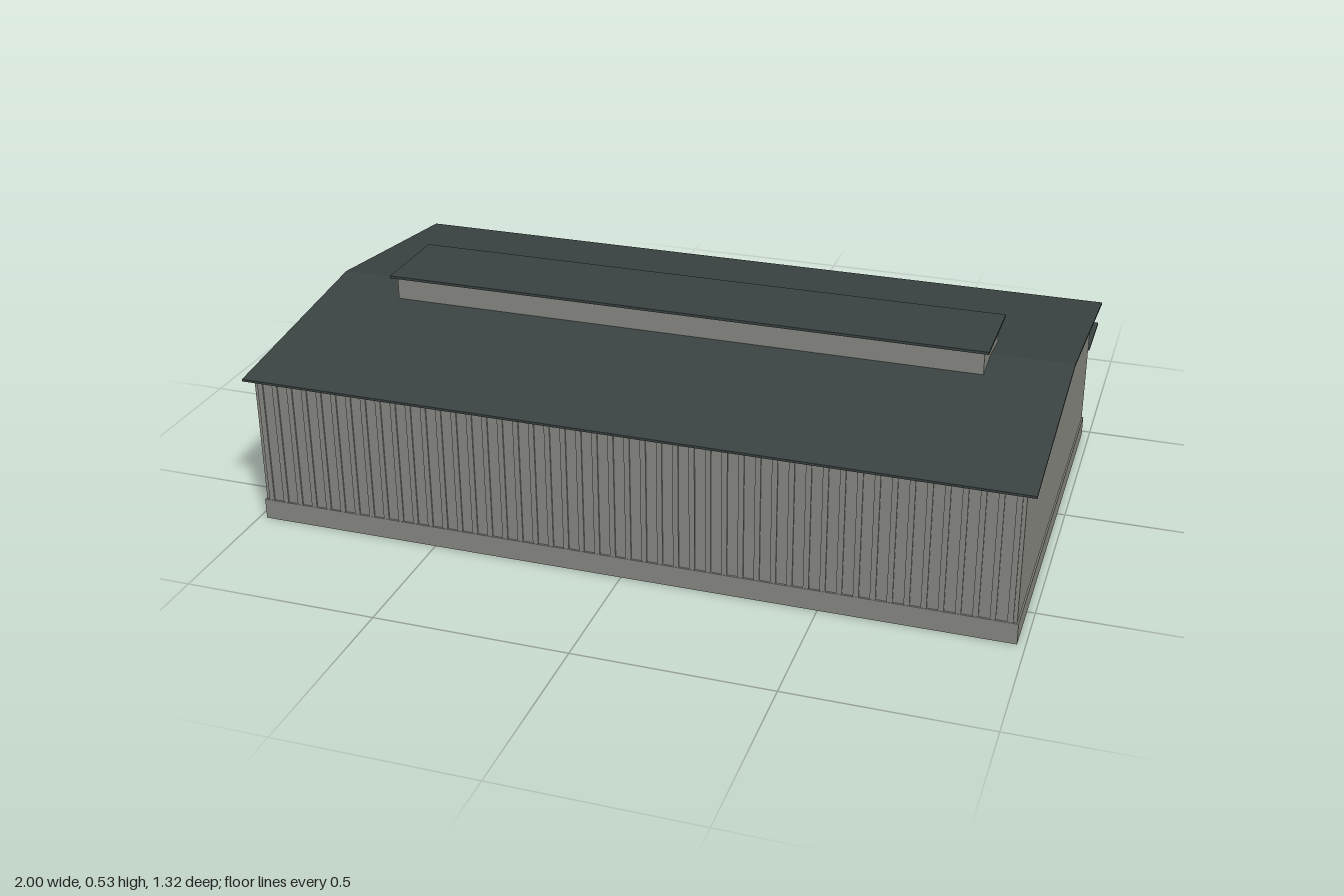
import * as THREE from 'three';

export function createModel() {
  const model = new THREE.Group();
  const mat = (name, color) => {
    const m = new THREE.MeshStandardMaterial({ color });
    m.name = name;
    return m;
  };
  const wall = mat('wall grey', 0x8a8a84);
  const roofing = mat('roof slate', 0x3a4242);
  const dark = mat('dark steel', 0x25292a);
  const glass = mat('window dark', 0x33393b);

  // Box given by its minimum and maximum on each axis
  const box = (name, material, x0, x1, y0, y1, z0, z1, parent = model) => {
    const mesh = new THREE.Mesh(new THREE.BoxGeometry(x1 - x0, y1 - y0, z1 - z0), material);
    mesh.position.set((x0 + x1) / 2, (y0 + y1) / 2, (z0 + z1) / 2);
    mesh.name = name;
    parent.add(mesh);
    return mesh;
  };
  const group = (name) => {
    const g = new THREE.Group();
    g.name = name;
    model.add(g);
    return g;
  };

  // Hall and its low plinth
  const front = 0.643, back = -0.475;
  box('hall', wall, -0.976, 0.976, 0, 0.4, back, front);
  box('plinth', wall, -0.98, 0.98, 0, 0.055, back - 0.004, front + 0.005);

  // Vertical cladding ribs on the two long walls
  const ribs = group('claddingRibs');
  const count = 48;
  for (let i = 0; i < count; i++) {
    const x = -0.96 + (1.92 * i) / (count - 1);
    box('frontRib', wall, x - 0.007, x + 0.007, 0.055, 0.397, front, front + 0.004, ribs);
    box('backRib', wall, x - 0.007, x + 0.007, 0.055, 0.397, back - 0.004, back, ribs);
  }

  // Shallow gable roof, open at the ends; profile runs along -z
  const profile = new THREE.Shape([
    [-0.662, 0.397], [-0.085, 0.466], [0.493, 0.397],
    [0.493, 0.403], [-0.085, 0.472], [-0.662, 0.403],
  ].map(([u, y]) => new THREE.Vector2(u, y)));
  const roofGeo = new THREE.ExtrudeGeometry(profile, { depth: 2, bevelEnabled: false });
  roofGeo.translate(0, 0, -1).rotateY(Math.PI / 2);
  const roof = new THREE.Mesh(roofGeo, roofing);
  roof.name = 'roof';
  model.add(roof);

  // Ridge ventilator with windows along the back
  box('ridgeBox', wall, -0.79, 0.79, 0.445, 0.523, -0.018, 0.188);
  box('ridgeCap', roofing, -0.803, 0.803, 0.523, 0.53, -0.036, 0.206);
  const windows = group('ridgeWindows');
  for (let i = 0; i < 14; i++) {
    const x = (i - 6.5) * 0.112;
    box('ridgeWindow', glass, x - 0.032, x + 0.032, 0.472, 0.513, -0.021, -0.018, windows);
  }

  // Sliding doors with their top tracks
  const doors = group('doors');
  for (const x of [-0.735, -0.245, 0.245, 0.735]) {
    box('door', wall, x - 0.123, x + 0.123, 0.002, 0.234, back - 0.009, back, doors);
    box('doorTrack', dark, x - 0.135, x + 0.135, 0.234, 0.242, back - 0.012, back, doors);
  }

  // Loading canopy with brackets and small lamps
  box('canopy', roofing, -0.98, 0.98, 0.263, 0.269, -0.662, back);
  const brackets = group('canopyBrackets');
  const lampGeo = new THREE.CylinderGeometry(0.01, 0.01, 0.004, 12);
  for (let i = -3; i <= 3; i++) {
    const x = i * 0.28;
    box('bracketBeam', dark, x - 0.005, x + 0.005, 0.257, 0.263, -0.653, back, brackets);
    box('bracketPost', dark, x - 0.005, x + 0.005, 0.18, 0.257, back - 0.01, back, brackets);
    const lamp = new THREE.Mesh(lampGeo, wall);
    lamp.name = 'canopyLamp';
    lamp.position.set(x, 0.256, -0.58);
    brackets.add(lamp);
  }
  return model;
}
